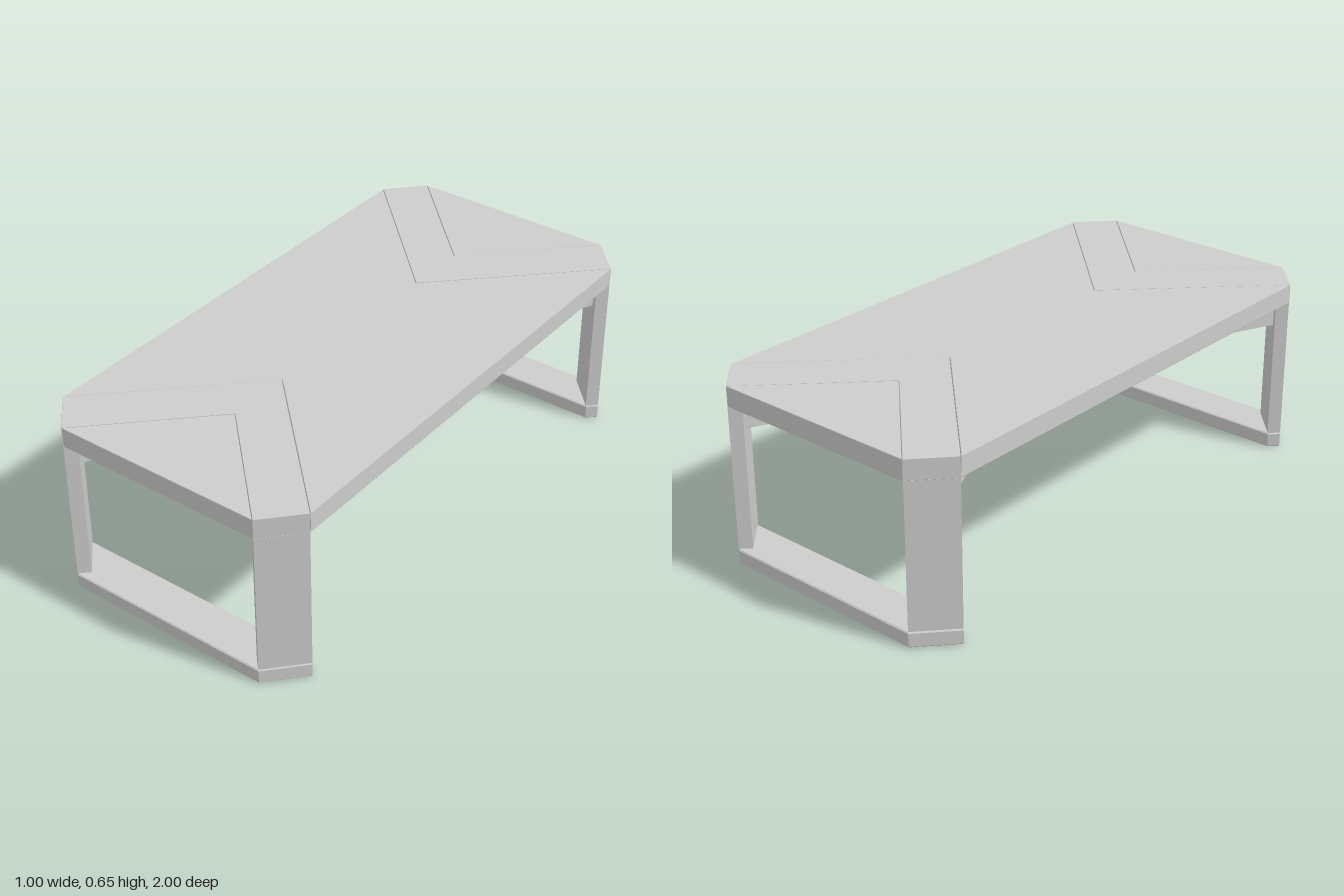
import * as THREE from 'three';

const TOP = 0.65, SLAB = 0.072, UNDER = TOP - SLAB, BASE = 0.055;

// Extrudes a plan outline of [x, z] points between two heights, with eased edges.
function slab(name, outline, y0, y1, material, ease = 0.003) {
  const shape = new THREE.Shape(outline.map(([x, z]) => new THREE.Vector2(x, z)));
  const geometry = new THREE.ExtrudeGeometry(shape, {
    depth: y1 - y0 - 2 * ease,
    bevelEnabled: ease > 0,
    bevelSize: ease, bevelThickness: ease, bevelOffset: -ease, bevelSegments: 1,
  });
  geometry.rotateX(Math.PI / 2);
  geometry.translate(0, y1 - ease, 0);
  const mesh = new THREE.Mesh(geometry, material);
  mesh.name = name;
  return mesh;
}

// Completes a half outline (x >= 0) with its mirror image across x = 0.
function mirrored(half) {
  const other = half.filter(([x]) => x > 0).map(([x, z]) => [-x, z]).reverse();
  return [...half, ...other];
}

export function createModel() {
  const table = new THREE.Group();
  table.name = 'coffeeTable';
  const grey = new THREE.MeshStandardMaterial({ color: 0xcccccc });
  grey.name = 'light grey';
  const gap = 0.003;

  // Main panel, notched at each end to receive the chevrons
  table.add(slab('centrePanel', [
    [0.5, 0.875 - gap], [0, 0.38 - gap], [-0.5, 0.875 - gap],
    [-0.5, -0.875 + gap], [0, -0.38 + gap], [0.5, -0.875 + gap],
  ], UNDER, TOP, grey, 0.002));

  // Crossed stretcher, each arm cut to meet the inner face of a leg
  table.add(slab('crossStretcher', [
    [0.444, 0.867], [0.376, 0.94], [0, 0.11], [-0.376, 0.94], [-0.444, 0.867], [-0.051, 0],
    [-0.444, -0.867], [-0.376, -0.94], [0, -0.11], [0.376, -0.94], [0.444, -0.867], [0.051, 0],
  ], 0.48, UNDER - 0.002, grey, 0));

  for (const [name, turn] of [['frontEnd', 0], ['backEnd', Math.PI]]) {
    const end = new THREE.Group();
    end.name = name;
    end.rotation.y = turn;

    // Chevron band running from leg to leg
    end.add(slab('chevronBand', mirrored([
      [0, 0.38], [0.5, 0.875], [0.385, 1], [0, 0.615],
    ]), UNDER, TOP, grey, 0.001));

    // Triangular end panel
    end.add(slab('endPanel', [
      [0, 0.615 + gap], [0.385 - gap, 1], [-0.385 + gap, 1],
    ], UNDER, TOP, grey, 0.002));

    // Slanted corner legs
    for (const s of [1, -1]) {
      end.add(slab(s > 0 ? 'leftLeg' : 'rightLeg', [
        [s * 0.385, 1], [s * 0.5, 0.875], [s * 0.467, 0.842], [s * 0.352, 0.967],
      ], BASE + 0.003, UNDER, grey, 0));
    }

    // Floor rail under the legs
    end.add(slab('floorRail', mirrored([
      [0.467, 0.845], [0.5, 0.875], [0.385, 1],
    ]), 0, BASE, grey, 0.004));
    // Thin joint between rail and legs
    for (const s of [1, -1]) {
      end.add(slab('legJoint', [
        [s * 0.385, 0.99], [s * 0.49, 0.875], [s * 0.467, 0.852], [s * 0.362, 0.967],
      ], BASE - 0.002, BASE + 0.004, grey, 0));
    }
    table.add(end);
  }
  return table;
}
